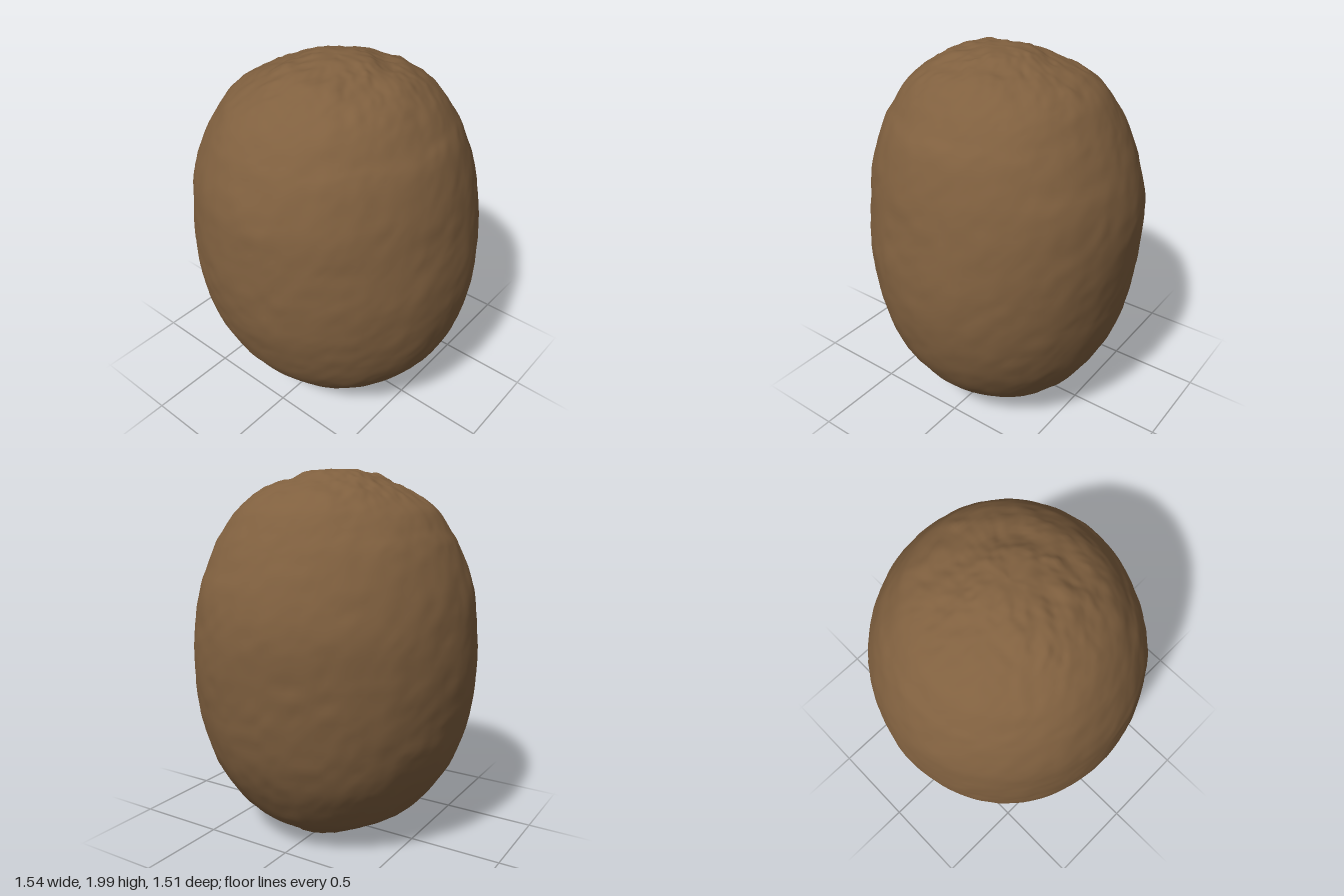
import * as THREE from 'three';
import { mergeVertices } from 'three/addons/utils/BufferGeometryUtils.js';

// Seeded smooth 3D value noise in -1..1
function hash(x, y, z) {
  const s = Math.sin(x * 127.1 + y * 311.7 + z * 74.7) * 43758.5453;
  return (s - Math.floor(s)) * 2 - 1;
}
function noise(x, y, z) {
  const c = [x, y, z].map(Math.floor);
  const f = [x - c[0], y - c[1], z - c[2]].map(t => t * t * (3 - 2 * t));
  let sum = 0;
  for (let k = 0; k < 8; k++) {
    const d = [k & 1, (k >> 1) & 1, k >> 2];
    const w = d.reduce((p, b, n) => p * (b ? f[n] : 1 - f[n]), 1);
    sum += w * hash(c[0] + d[0], c[1] + d[1], c[2] + d[2]);
  }
  return sum;
}

// Stem scar underneath: height and radius of button, groove and rim
const SCAR = [[0.03, 0], [0.025, 0.06], [0.045, 0.085], [0.022, 0.125],
  [0.05, 0.16], [0.045, 0.185], [0.018, 0.215], [0.042, 0.25]];

// Skin: height, then reach towards -x, +x, +z, -z
const SKIN = [
  [0.068, 0.26, 0.31, 0.27, 0.30],
  [0.10, 0.335, 0.38, 0.34, 0.37],
  [0.20, 0.485, 0.51, 0.475, 0.495],
  [0.40, 0.635, 0.655, 0.625, 0.622],
  [0.60, 0.717, 0.727, 0.703, 0.692],
  [0.80, 0.755, 0.758, 0.744, 0.73],
  [1.00, 0.768, 0.757, 0.755, 0.75],
  [1.20, 0.757, 0.73, 0.747, 0.753],
  [1.40, 0.725, 0.69, 0.725, 0.717],
  [1.60, 0.65, 0.625, 0.658, 0.634],
  [1.70, 0.587, 0.564, 0.602, 0.574],
  [1.80, 0.505, 0.49, 0.528, 0.50],
  [1.89, 0.35, 0.385, 0.415, 0.375],
  [1.95, 0.21, 0.235, 0.31, 0.21],
  [1.983, 0.13, 0.13, 0.15, 0.11],
  [1.993, 0, 0, 0, 0]
];

// Scar rings sit slightly off centre, towards +x and -z
const OUTLINE = [
  ...SCAR.map(([y, r]) => [y, r * 0.88, r * 1.12, r * 0.92, r * 1.08]),
  ...SKIN
];

// Closed body, blending the four side outlines around each ring
function bodyGeometry(rings, sides) {
  const curves = [1, 2, 3, 4].map(k =>
    new THREE.SplineCurve(OUTLINE.map(row => new THREE.Vector2(row[k], row[0]))));
  const positions = [], index = [];
  for (let i = 0; i <= rings; i++) {
    const [west, east, front, back] = curves.map(c => c.getPoint(i / rings));
    for (let j = 0; j < sides; j++) {
      const a = j / sides * Math.PI * 2, cx = Math.cos(a), cz = Math.sin(a);
      const rx = (cx < 0 ? west : east).x, rz = (cz < 0 ? back : front).x;
      // The cross-section is a little longer along one diagonal
      const r = Math.max(0, rx * cx * cx + rz * cz * cz) * (1 - 0.022 * Math.sin(2 * a));
      const x = r * cx, y = east.y, z = r * cz;
      // Gentle dents all over, rougher at the crown and the scar
      const rough = THREE.MathUtils.smoothstep(y, 1.75, 1.95)
        + 1 - THREE.MathUtils.smoothstep(y, 0.045, 0.08);
      const d = 0.005 * noise(x * 5, y * 5, z * 5)
        + (0.0035 + 0.0055 * rough) * noise(x * 14 + 9, y * 14, z * 14)
        + (0.0015 + 0.004 * rough) * noise(x * 30, y * 30 + 5, z * 30);
      const l = Math.hypot(x, y - 1, z);
      positions.push(x + d * x / l, y + d * (y - 1) / l, z + d * z / l);
      if (i < rings) {
        const n = (j + 1) % sides, p = i * sides;
        index.push(p + j, p + sides + j, p + n, p + n, p + sides + j, p + sides + n);
      }
    }
  }
  const g = new THREE.BufferGeometry();
  g.setAttribute('position', new THREE.Float32BufferAttribute(positions, 3));
  g.setIndex(index);
  const merged = mergeVertices(g, 1e-5);
  merged.computeVertexNormals();
  return merged;
}

export function createModel() {
  const skin = new THREE.MeshStandardMaterial({ color: 0x80603f });
  skin.name = 'brownSkin';
  const body = new THREE.Mesh(bodyGeometry(161, 160), skin);
  body.name = 'fruitBody';
  const model = new THREE.Group();
  model.name = 'fruit';
  model.add(body);
  return model;
}
